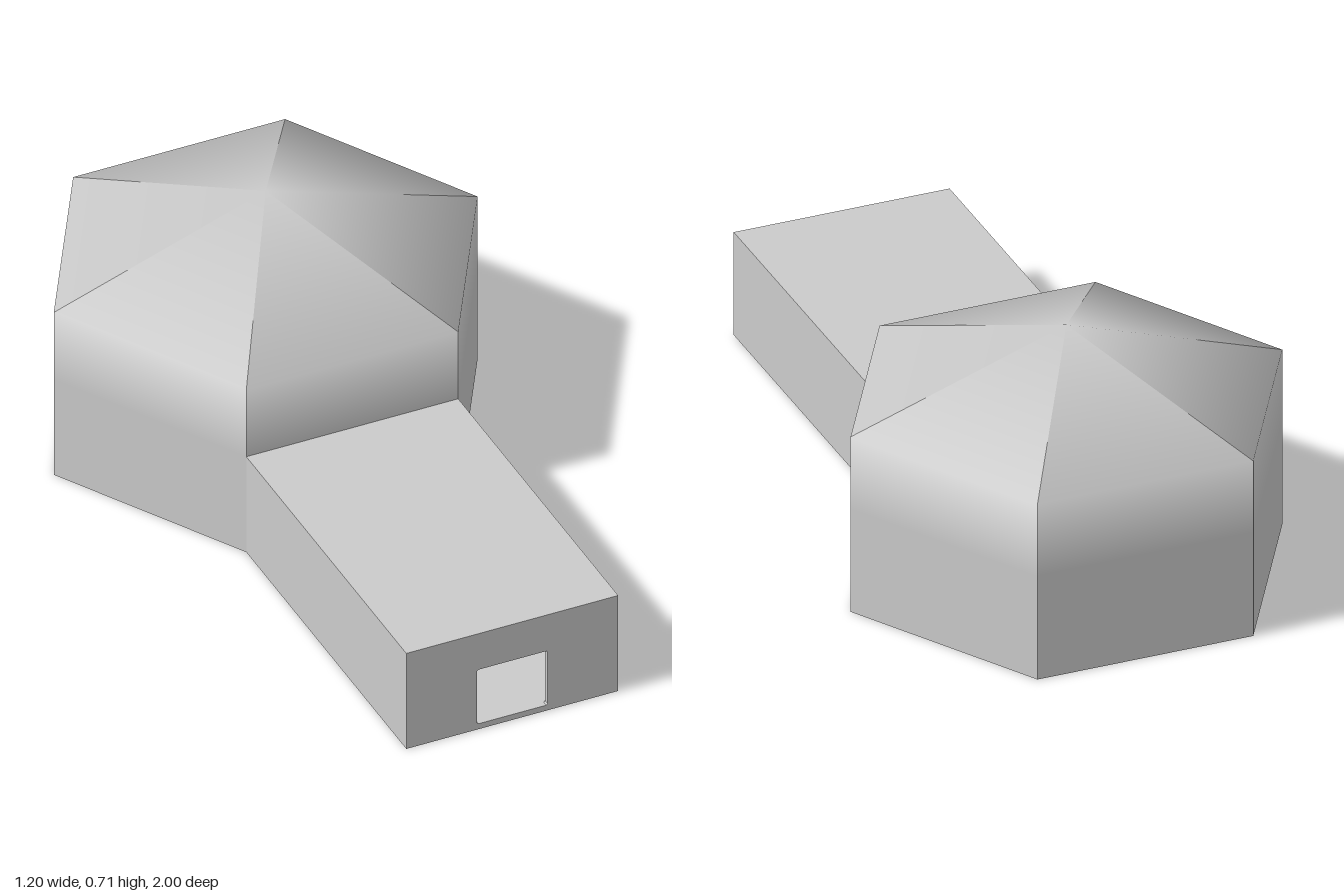
import * as THREE from 'three';

const T = 0.015;            // wall thickness
const R = 0.6, CZ = -0.48;  // hexagonal hall radius and centre
const FRONT = CZ + R * Math.cos(Math.PI / 6);
const H = 0.3;              // height of the entrance wing
const mat = new THREE.MeshStandardMaterial({ color: 0xcccccc });

function add(group, name, geometry, x = 0, y = 0, z = 0) {
  const mesh = new THREE.Mesh(geometry, mat);
  mesh.name = name;
  mesh.position.set(x, y, z);
  group.add(mesh);
}

// One hexagonal skin of walls and roof, softly shaded across the eaves.
// The front side starts at the wing roof, leaving room for the dividing wall.
function hallSkin(r, eave, apex, inward) {
  const pos = [], nor = [], idx = [];
  const s = inward ? -1 : 1;
  const rise = apex - eave, run = r * Math.cos(Math.PI / 6);
  for (let i = 0; i < 6; i++) {
    const a0 = i * Math.PI / 3, a1 = a0 + Math.PI / 3, am = (a0 + a1) / 2;
    const base = pos.length / 3;
    const put = (a, rad, y, n) => {
      pos.push(rad * Math.cos(a), y, rad * Math.sin(a));
      nor.push(s * n.x, s * n.y, s * n.z);
    };
    const quad = (p, q, t, u) => idx.push(p, q, t, p, t, u);
    const wall = new THREE.Vector3(Math.cos(am), 0, Math.sin(am));
    const roof = new THREE.Vector3(wall.x * rise, run, wall.z * rise).normalize();
    const soft = wall.clone().add(roof).normalize();
    [[T, wall], [H, wall], [eave, soft]].forEach(([y, n]) => {
      put(a1, r, y, n);
      put(a0, r, y, n);
    });
    put(am, 0, apex, new THREE.Vector3(0, 1, 0));
    if (i !== 1) quad(base, base + 1, base + 3, base + 2);
    quad(base + 2, base + 3, base + 5, base + 4);
    idx.push(base + 4, base + 5, base + 6);
  }
  if (inward) {
    for (let k = 0; k < idx.length; k += 3) [idx[k], idx[k + 1]] = [idx[k + 1], idx[k]];
  }
  const g = new THREE.BufferGeometry();
  g.setAttribute('position', new THREE.Float32BufferAttribute(pos, 3));
  g.setAttribute('normal', new THREE.Float32BufferAttribute(nor, 3));
  g.setIndex(idx);
  return g;
}

// Upright wall as wide as the wing, pierced by an outline of points
function piercedWall(y0, y1, outline) {
  const shape = new THREE.Shape([[-0.3, y0], [0.3, y0], [0.3, y1], [-0.3, y1]]
    .map(([x, y]) => new THREE.Vector2(x, y)));
  shape.holes.push(new THREE.Path(outline.map(([x, y]) => new THREE.Vector2(x, y))));
  return new THREE.ExtrudeGeometry(shape, { depth: T, bevelEnabled: false });
}

export function createModel() {
  const model = new THREE.Group();
  model.name = 'hexagonalShelter';

  // Hexagonal hall
  const hall = new THREE.Group();
  hall.name = 'hall';
  hall.position.z = CZ;
  add(hall, 'hallWallsAndRoof', hallSkin(R, 0.51, 0.71, false));
  add(hall, 'hallLining', hallSkin(R - T * 1.15, 0.495, 0.69, true));
  add(hall, 'hallFloor', new THREE.CylinderGeometry(R, R, T, 6, 1, false, Math.PI / 2).toNonIndexed(), 0, T / 2);
  hall.children[2].geometry.computeVertexNormals();
  model.add(hall);

  // Entrance wing
  const wing = new THREE.Group();
  wing.name = 'entranceWing';
  const len = 1 - FRONT, mid = (1 + FRONT) / 2;
  add(wing, 'wingFloor', new THREE.BoxGeometry(0.6, T, len), 0, T / 2, mid);
  add(wing, 'wingRoof', new THREE.BoxGeometry(0.6, T, len), 0, H - T / 2, mid);
  for (const s of [-1, 1]) {
    add(wing, s > 0 ? 'leftWall' : 'rightWall',
      new THREE.BoxGeometry(T, H - 2 * T, len - T), s * (0.3 - T / 2), H / 2, mid - T / 2);
  }

  // Front wall with a doorway whose corners are slightly clipped
  const c = 0.004, w = 0.1, b = T + 0.002, t = 0.187;
  add(wing, 'frontWall', piercedWall(T, H - T, [
    [-w + c, b], [-w, b + c], [-w, t - c], [-w + c, t],
    [w - c, t], [w, t - c], [w, b + c], [w - c, b],
  ]), 0, 0, 1 - T);

  // Dividing wall with a gabled passage into the hall
  add(wing, 'dividingWall', piercedWall(T, H, [
    [-0.1, T + 0.001], [-0.1, 0.11], [0, 0.155], [0.1, 0.11], [0.1, T + 0.001],
  ]), 0, 0, FRONT - T);
  model.add(wing);

  return model;
}
